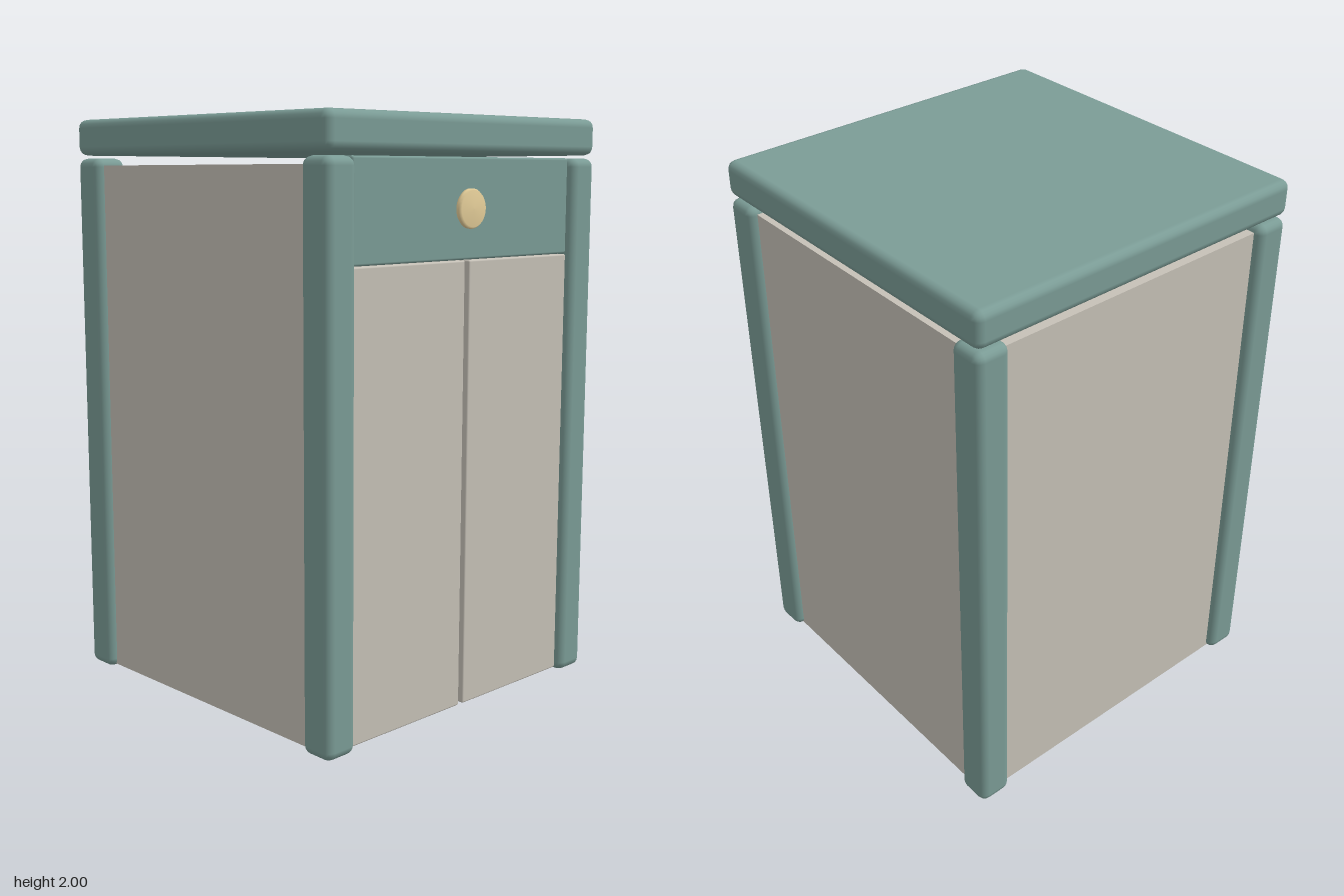
import * as THREE from 'three';
import { RoundedBoxGeometry } from 'three/addons/geometries/RoundedBoxGeometry.js';

const teal = new THREE.MeshStandardMaterial({ color: 0x7b9c96 });
const panel = new THREE.MeshStandardMaterial({ color: 0xc6c1b7 });
const brass = new THREE.MeshStandardMaterial({ color: 0xe6cf9a });

export function createModel() {
  const model = new THREE.Group();
  model.name = 'cabinet';

  const add = (name, geometry, material, x, y, z) => {
    const mesh = new THREE.Mesh(geometry, material);
    mesh.name = name;
    mesh.position.set(x, y, z);
    model.add(mesh);
    return mesh;
  };
  const box = (name, w, h, d, material, x, y, z) =>
    add(name, new THREE.BoxGeometry(w, h, d), material, x, y, z);
  const rounded = (name, w, h, d, r, material, x, y, z) =>
    add(name, new RoundedBoxGeometry(w, h, d, 2, r), material, x, y, z);

  // Worktop, floating just above the carcass
  rounded('top', 1.3, 0.125, 1.3, 0.03, teal, 0, 1.9375, 0);

  // Four corner posts
  for (const x of [-1, 1]) {
    for (const z of [-1, 1]) {
      const name = (z > 0 ? 'front' : 'back') + (x > 0 ? 'Left' : 'Right') + 'Post';
      rounded(name, 0.125, 1.865, 0.125, 0.03, teal, x * 0.5875, 0.9325, z * 0.5875);
    }
  }

  // Carcass: sides, back, floor and ceiling
  const bottom = 0.01, ceiling = 1.84;
  const height = ceiling - bottom, middle = (ceiling + bottom) / 2;
  for (const x of [-1, 1]) {
    box(x > 0 ? 'leftSide' : 'rightSide', 0.03, height, 1.14, panel, x * 0.605, middle, 0);
  }
  box('back', 1.14, height, 0.03, panel, 0, middle, -0.605);
  box('floor', 1.18, 0.03, 1.18, panel, 0, bottom + 0.015, 0);
  box('ceiling', 1.18, 0.03, 1.18, panel, 0, ceiling - 0.015, 0);

  // Pair of doors with a narrow gap between them
  for (const x of [-1, 1]) {
    rounded(x > 0 ? 'leftDoor' : 'rightDoor', 0.515, 1.52, 0.04, 0.006, panel, x * 0.2675, 0.773, 0.605);
  }

  // Drawer front
  rounded('drawer', 1.05, 0.33, 0.04, 0.008, teal, 0, 1.7, 0.605);

  // Round knob with a softened rim
  const profile = [[0, 0], [0.058, 0], [0.065, 0.008], [0.065, 0.017], [0.059, 0.025], [0, 0.027]]
    .map(([r, y]) => new THREE.Vector2(r, y));
  add('knob', new THREE.LatheGeometry(profile, 32), brass, 0, 1.7, 0.624).rotation.x = Math.PI / 2;

  return model;
}
